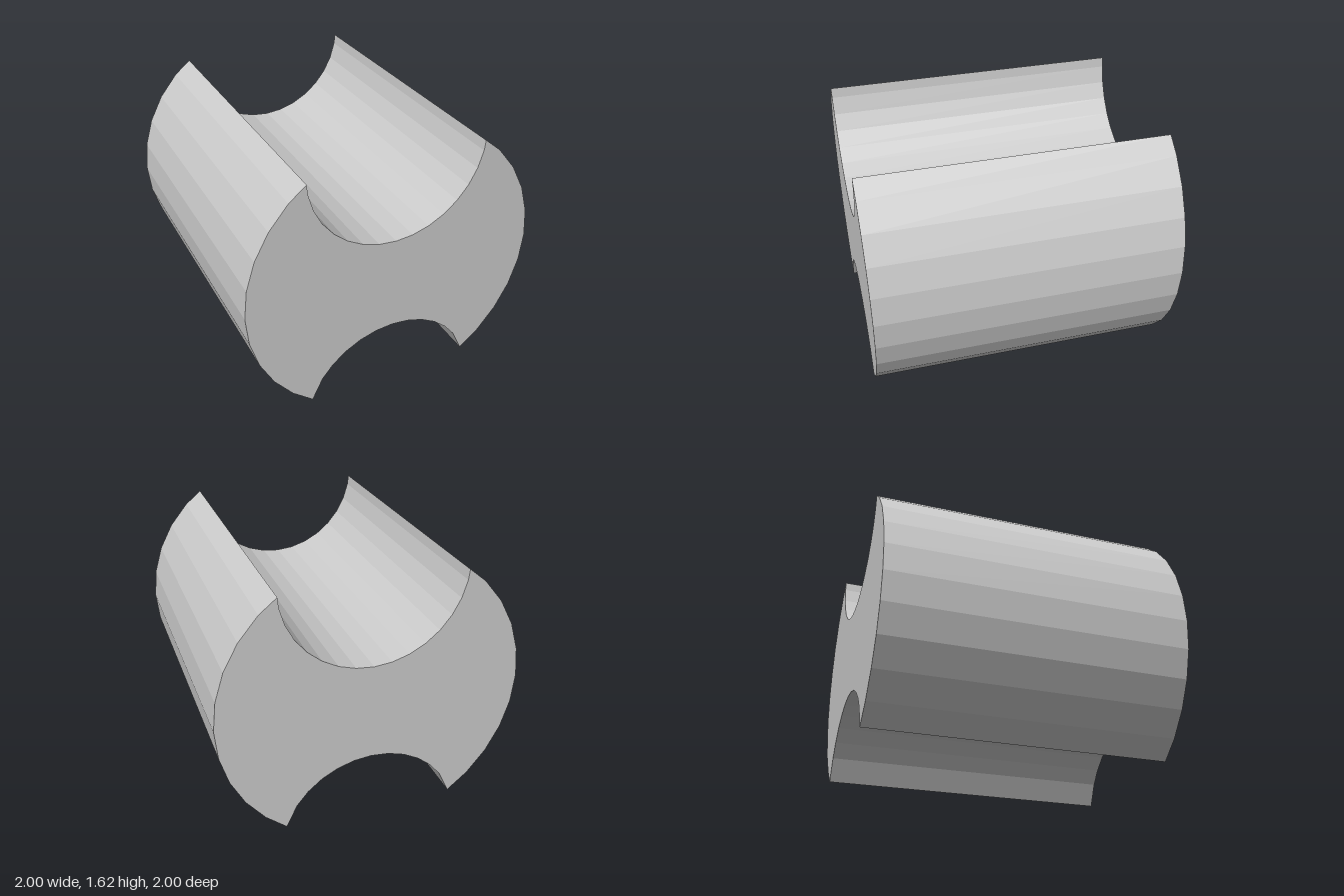
import * as THREE from 'three';

const STEP = Math.PI / 16; // every arc is part of a 32-sided circle

// Points of a faceted arc, from facet index a to b
function arc(cy, r, a, b) {
  const points = [];
  const dir = Math.sign(b - a);
  for (let i = a; i !== b + dir; i += dir) {
    points.push(new THREE.Vector2(r * Math.cos(i * STEP), cy + r * Math.sin(i * STEP)));
  }
  return points;
}

export function createModel() {
  const model = new THREE.Group();
  const tip = (x, y) => new THREE.Vector2(x, y);

  // Round bar section with a concave groove cut above and below
  const section = new THREE.Shape([
    tip(0.57, 0.003),
    ...arc(0.823, 1, -4, 4), // right flank
    tip(0.596, 1.621),
    ...arc(1.67, 0.6, -1, -15), // top groove
    tip(-0.596, 1.621),
    ...arc(0.823, 1, 12, 20), // left flank
    tip(-0.57, 0.003),
    ...arc(-0.18, 0.6, 13, 3), // bottom groove
  ]);

  const geometry = new THREE.ExtrudeGeometry(section, { depth: 2, bevelEnabled: false });
  geometry.translate(0, -0.003, -1);

  const body = new THREE.Mesh(
    geometry,
    new THREE.MeshStandardMaterial({ color: 0xcccccc, flatShading: true })
  );
  body.name = 'groovedBar';
  model.add(body);
  return model;
}
